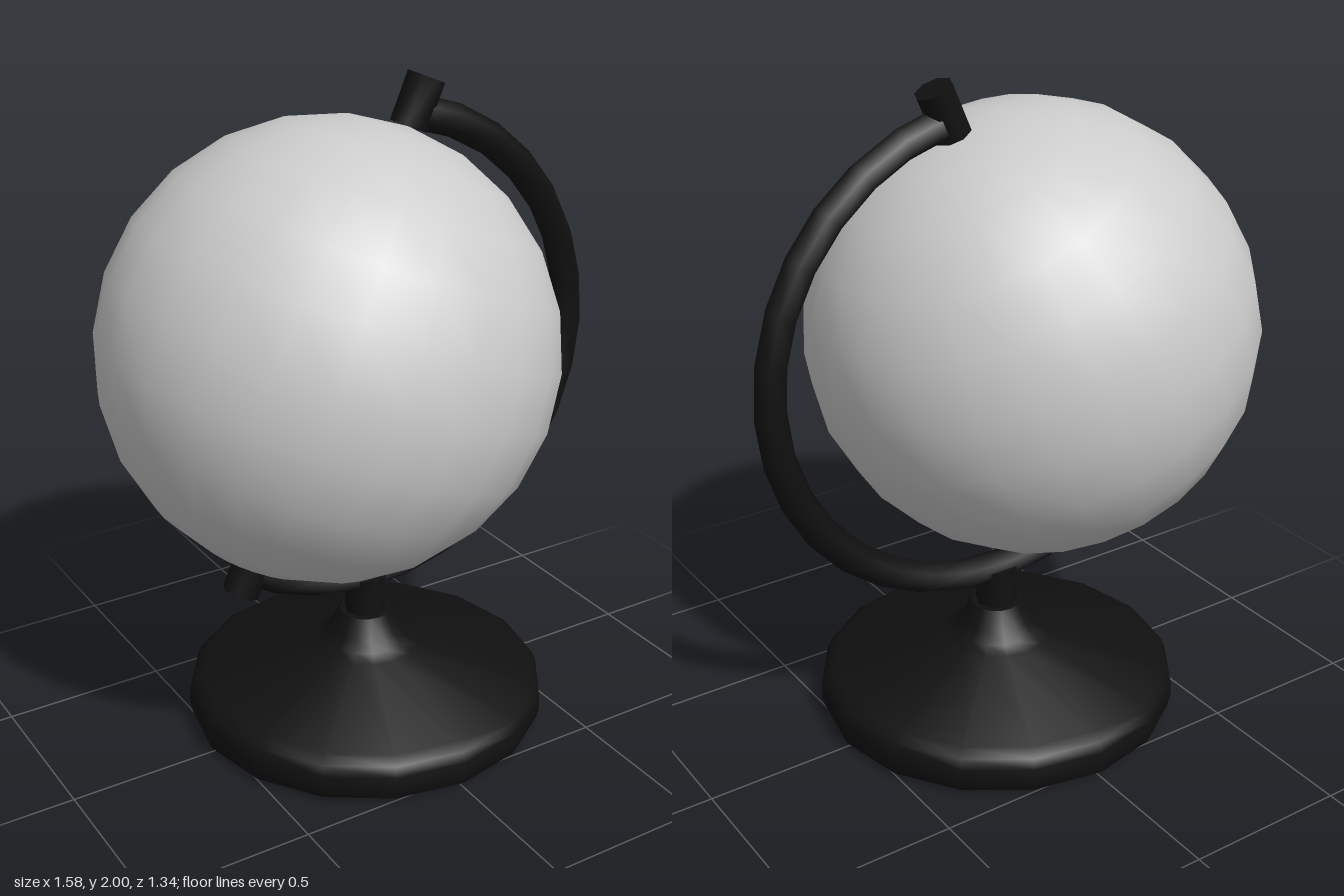
import * as THREE from 'three';
import { toCreasedNormals } from 'three/addons/utils/BufferGeometryUtils.js';

const TILT = THREE.MathUtils.degToRad(23.5);
const CENTRE = new THREE.Vector3(-0.125, 1.23, 0);

export function createModel() {
  const model = new THREE.Group();
  model.name = 'deskGlobe';
  const grey = new THREE.MeshStandardMaterial({ color: 0xcccccc });
  const black = new THREE.MeshStandardMaterial({ color: 0x101010 });

  function add(name, geometry, material, x, y) {
    const mesh = new THREE.Mesh(geometry, material);
    mesh.name = name;
    mesh.position.set(x, y, 0);
    model.add(mesh);
    return mesh;
  }

  // Ball, tilted about its axis
  add('globe', new THREE.SphereGeometry(0.672, 24, 12), grey, CENTRE.x, CENTRE.y).rotation.z = -TILT;

  // Turned foot with a rounded rim and a flared neck
  const profile = [
    [0, 0], [0.53, 0], [0.55, 0.015], [0.557, 0.045], [0.557, 0.09], [0.545, 0.12], [0.515, 0.14],
    [0.17, 0.23], [0.135, 0.25], [0.11, 0.28], [0.08, 0.34], [0, 0.34],
  ].map(([r, y]) => new THREE.Vector2(r, y));
  add('base', toCreasedNormals(new THREE.LatheGeometry(profile, 16), 0.7), black, 0, 0);

  // Short post between foot and arm
  add('stem', toCreasedNormals(new THREE.CylinderGeometry(0.064, 0.064, 0.14, 8), 0.9), black, 0, 0.39);

  // Curved arm from the lower pivot round to the upper pivot
  const start = THREE.MathUtils.degToRad(-127);
  const sweep = THREE.MathUtils.degToRad(205);
  add('arm', new THREE.TorusGeometry(0.722, 0.05, 6, 18, sweep), black, 0.015, 1.18).rotation.z = start;

  // Pivot caps on the axis at both ends of the arm
  for (const [name, distance] of [['topPivot', 0.745], ['bottomPivot', -0.7]]) {
    const cap = toCreasedNormals(new THREE.CylinderGeometry(0.056, 0.056, 0.146, 8), 0.9);
    add(name, cap, black, CENTRE.x + Math.sin(TILT) * distance, CENTRE.y + Math.cos(TILT) * distance)
      .rotation.z = -TILT;
  }
  return model;
}
